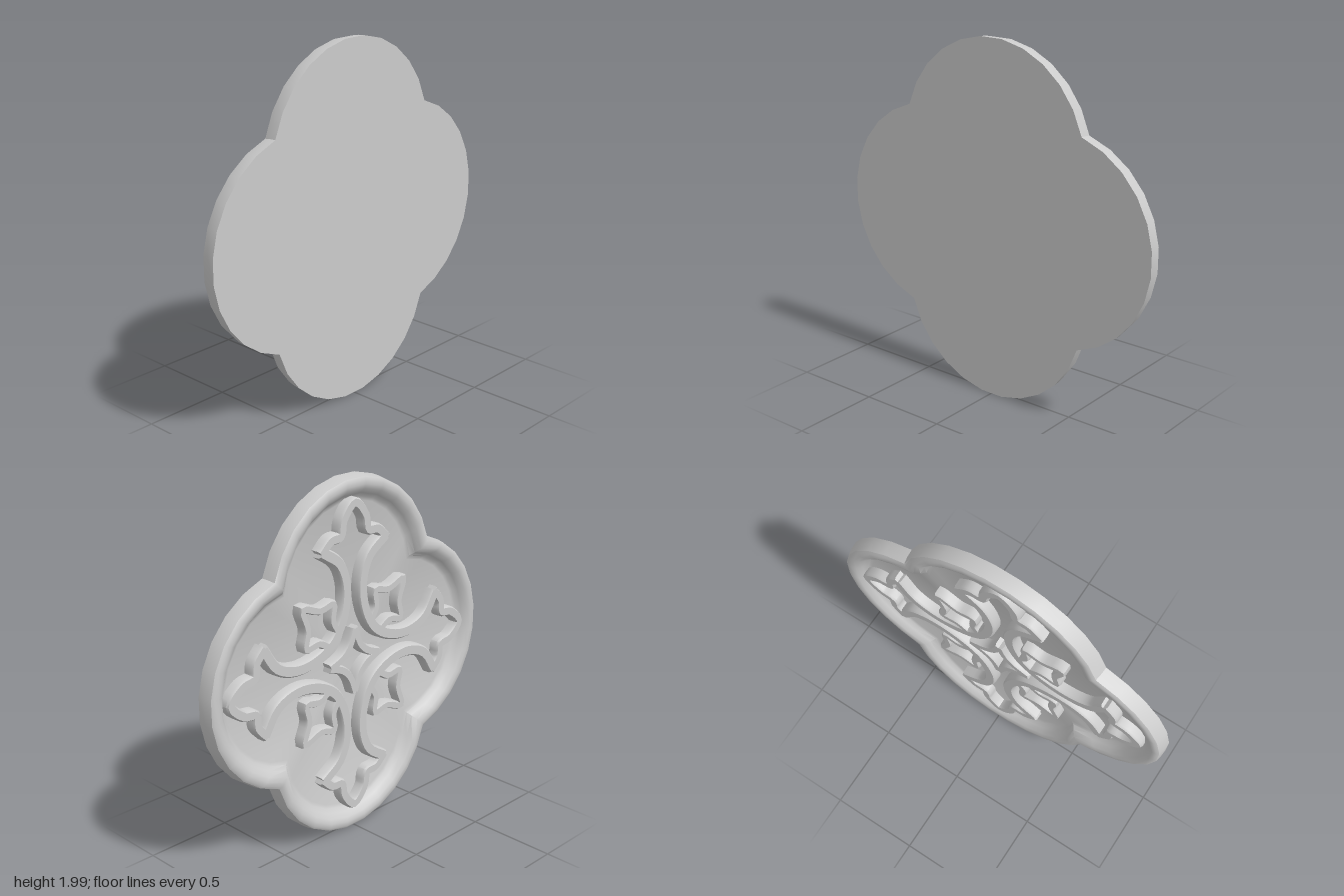
import * as THREE from 'three';
import { toCreasedNormals } from 'three/addons/utils/BufferGeometryUtils.js';

// Skin through equal-length closed rings, with a fan cap at both ends
function loft(rings, crease) {
  const n = rings[0].length, pos = rings.flat(), index = [];
  for (let i = 0; i < rings.length - 1; i++) {
    for (let j = 0; j < n; j++) {
      const k = (j + 1) % n;
      const a = i * n + j, b = i * n + k, c = a + n, d = b + n;
      index.push(a, b, d, a, d, c);
    }
  }
  const centre = (ring) => ring.reduce((s, p) => s.add(p), new THREE.Vector3()).divideScalar(n);
  const first = pos.push(centre(rings[0])) - 1;
  const last = pos.push(centre(rings[rings.length - 1])) - 1;
  const off = (rings.length - 1) * n;
  for (let j = 0; j < n; j++) {
    const k = (j + 1) % n;
    index.push(first, k, j, last, off + j, off + k);
  }
  const geo = new THREE.BufferGeometry().setFromPoints(pos);
  geo.setIndex(index);
  return toCreasedNormals(geo, crease);
}

// Four-lobed outline, inset from the outer edge, at height w
function quatrefoil(inset, w) {
  const c = 0.407, r = 0.593 - inset, segs = 11, ring = [];
  const t = (c + Math.sqrt(2 * r * r - c * c)) / 2;
  const start = Math.atan2(t - c, t), sweep = Math.PI - 2 * start;
  for (let lobe = 0; lobe < 4; lobe++) {
    for (let i = 0; i < segs; i++) {
      const a = start + (sweep * i) / segs;
      ring.push(new THREE.Vector3(r * Math.cos(a), c + r * Math.sin(a), w)
        .applyAxisAngle(new THREE.Vector3(0, 0, 1), (lobe * Math.PI) / 2));
    }
  }
  return ring;
}

// Raised ribbon along a smooth path through 2D points
function ribbon(points, half, steps) {
  const curve = new THREE.CatmullRomCurve3(points.map(([x, y]) => new THREE.Vector3(x, y, 0)), false, 'centripetal');
  const section = [[-1, -0.03], [1, -0.03], [0.95, 0.03], [0.7, 0.042], [-0.7, 0.042], [-0.95, 0.03]];
  const rings = [];
  for (let i = 0; i <= steps; i++) {
    const p = curve.getPoint(i / steps), t = curve.getTangent(i / steps);
    rings.push(section.map(([s, w]) => new THREE.Vector3(p.x - t.y * s * half, p.y + t.x * s * half, w)));
  }
  return loft(rings, 0.75);
}

// Complete a half path whose last point lies on the axis x = 0
const mirrored = (half) => [...half, ...half.slice(0, -1).reverse().map(([x, y]) => [-x, y])];

export function createModel() {
  const model = new THREE.Group();
  model.name = 'quatrefoilTile';
  const material = new THREE.MeshStandardMaterial({ color: 0xcccccc });

  // Carved face is built toward local +z, then turned to -x
  const tile = new THREE.Group();
  tile.name = 'tile';
  tile.rotation.y = -Math.PI / 2;
  tile.position.y = 1;
  model.add(tile);

  // Plate with raised rounded rim and sunken floor: [inset, height]
  const profile = [[0, -0.04], [0.003, 0], [0.011, 0.04], [0.025, 0.049], [0.05, 0.05],
    [0.075, 0.042], [0.1, 0.015], [0.12, -0.008], [0.14, -0.015]];
  const plate = new THREE.Mesh(loft(profile.map(([i, w]) => quatrefoil(i, w)), 0.7), material);
  plate.name = 'rimmedPlate';
  tile.add(plate);

  // Four copies of each scrollwork ribbon around the centre
  function addMotif(name, points, half, steps, turn) {
    const geo = ribbon(points, half, steps);
    for (let k = 0; k < 4; k++) {
      const mesh = new THREE.Mesh(geo, material);
      mesh.name = name;
      mesh.rotation.z = turn + (k * Math.PI) / 2;
      tile.add(mesh);
    }
  }
  const diagonal = Math.PI / 4;

  // Large C-shaped scrolls, backs to the centre
  addMotif('scroll', mirrored([[-0.29, 0.62], [-0.315, 0.47], [-0.255, 0.34], [-0.134, 0.247], [0, 0.212]]), 0.036, 32, diagonal);
  // Pointed leaves joining neighbouring scroll ends
  addMotif('tipLeaf', mirrored([[-0.24, 0.63], [-0.17, 0.69], [-0.1, 0.7], [-0.08, 0.78], [0, 0.86]]), 0.03, 32, 0);
  // Small three-pointed leaves inside the scrolls
  addMotif('innerLeaf', mirrored([[-0.05, 0.23], [-0.07, 0.3], [-0.14, 0.36], [-0.06, 0.42], [0, 0.53]]), 0.024, 32, diagonal);
  // Concave sides of the central star
  addMotif('centreStar', [[0.18, 0], [0.1, 0.03], [0.06, 0.06], [0.03, 0.1], [0, 0.18]], 0.026, 10, 0);

  return model;
}
